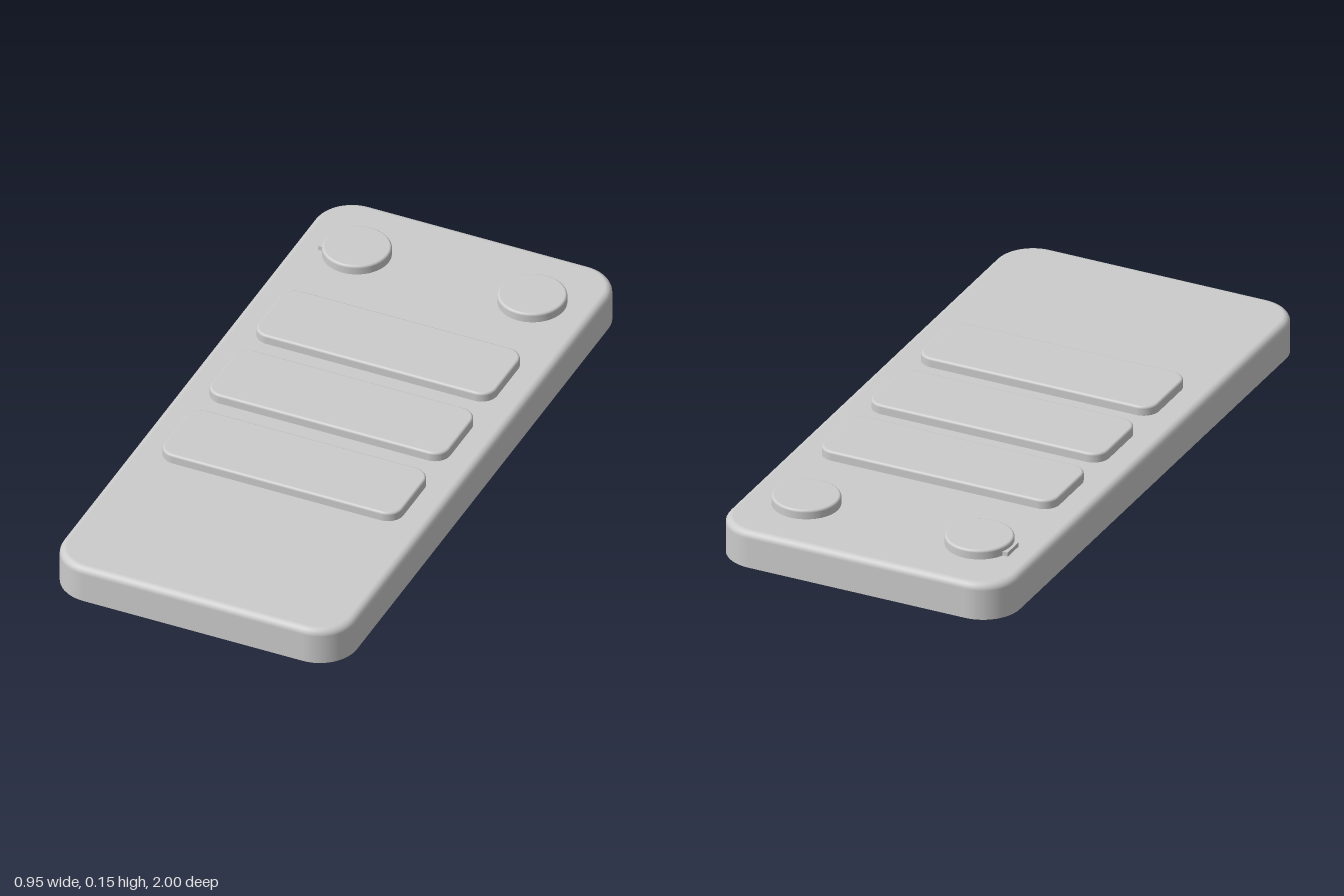
import * as THREE from 'three';

const material = new THREE.MeshStandardMaterial({ color: 0xcccccc });

// Upright slab with rounded corners (radius r), a filleted top rim (f) and a sharp bottom rim.
function slabGeometry(w, d, h, r, f, cornerSteps = 12, filletSteps = 6) {
  const outline = [];
  for (let q = 0; q < 4; q++) {
    const cx = (q === 0 || q === 3 ? 1 : -1) * (w / 2 - r);
    const cz = (q < 2 ? 1 : -1) * (d / 2 - r);
    for (let s = 0; s <= cornerSteps; s++) {
      const a = (q + s / cornerSteps) * Math.PI / 2;
      outline.push({ cx, cz, c: Math.cos(a), s: Math.sin(a) });
    }
  }
  // profile from the foot up: radius offset, height, tilt of the normal
  const profile = [{ rad: r, y: 0, t: 0 }];
  for (let i = 0; i <= filletSteps; i++) {
    const t = i / filletSteps * Math.PI / 2;
    profile.push({ rad: r - f + f * Math.cos(t), y: h - f + f * Math.sin(t), t });
  }
  profile.push({ rad: r, y: 0, t: -Math.PI / 2 }); // separate ring for the bottom face

  const pos = [], nor = [], idx = [], n = outline.length;
  for (const { rad, y, t } of profile) {
    for (const o of outline) {
      pos.push(o.cx + rad * o.c, y, o.cz + rad * o.s);
      nor.push(Math.cos(t) * o.c, Math.sin(t), Math.cos(t) * o.s);
    }
  }
  const rings = profile.length;
  const topCentre = rings * n, bottomCentre = topCentre + 1;
  pos.push(0, h, 0, 0, 0, 0);
  nor.push(0, 1, 0, 0, -1, 0);
  for (let k = 0; k < n; k++) {
    const m = (k + 1) % n;
    for (let j = 0; j < rings - 2; j++) {
      const A = j * n + k, B = j * n + m, C = A + n, D = B + n;
      idx.push(A, C, B, B, C, D);
    }
    idx.push(topCentre, (rings - 2) * n + m, (rings - 2) * n + k);
    idx.push(bottomCentre, (rings - 1) * n + k, (rings - 1) * n + m);
  }
  const g = new THREE.BufferGeometry();
  g.setAttribute('position', new THREE.Float32BufferAttribute(pos, 3));
  g.setAttribute('normal', new THREE.Float32BufferAttribute(nor, 3));
  g.setIndex(idx);
  return g;
}

export function createModel() {
  const group = new THREE.Group();
  const add = (name, geometry, x, y, z) => {
    const mesh = new THREE.Mesh(geometry, material);
    mesh.name = name;
    mesh.position.set(x, y, z);
    group.add(mesh);
  };
  const top = 0.118, rise = 0.03;

  // main case
  add('case', slabGeometry(0.95, 2, top, 0.12, 0.022), 0, 0, 0);

  // three wide bar buttons
  const bar = slabGeometry(0.774, 0.248, rise, 0.05, 0.008);
  [-0.365, -0.038, 0.291].forEach((z, i) => add('barButton' + (i + 1), bar, 0, top, z));

  // two round buttons
  const round = slabGeometry(0.206, 0.206, rise, 0.103, 0.008);
  add('roundButtonLeft', round, 0.284, top, -0.76);
  add('roundButtonRight', round, -0.284, top, -0.76);

  // small tab on the rim of the right round button
  add('buttonTab', new THREE.BoxGeometry(0.022, 0.014, 0.07), -0.385, top + 0.007, -0.765);

  return group;
}
